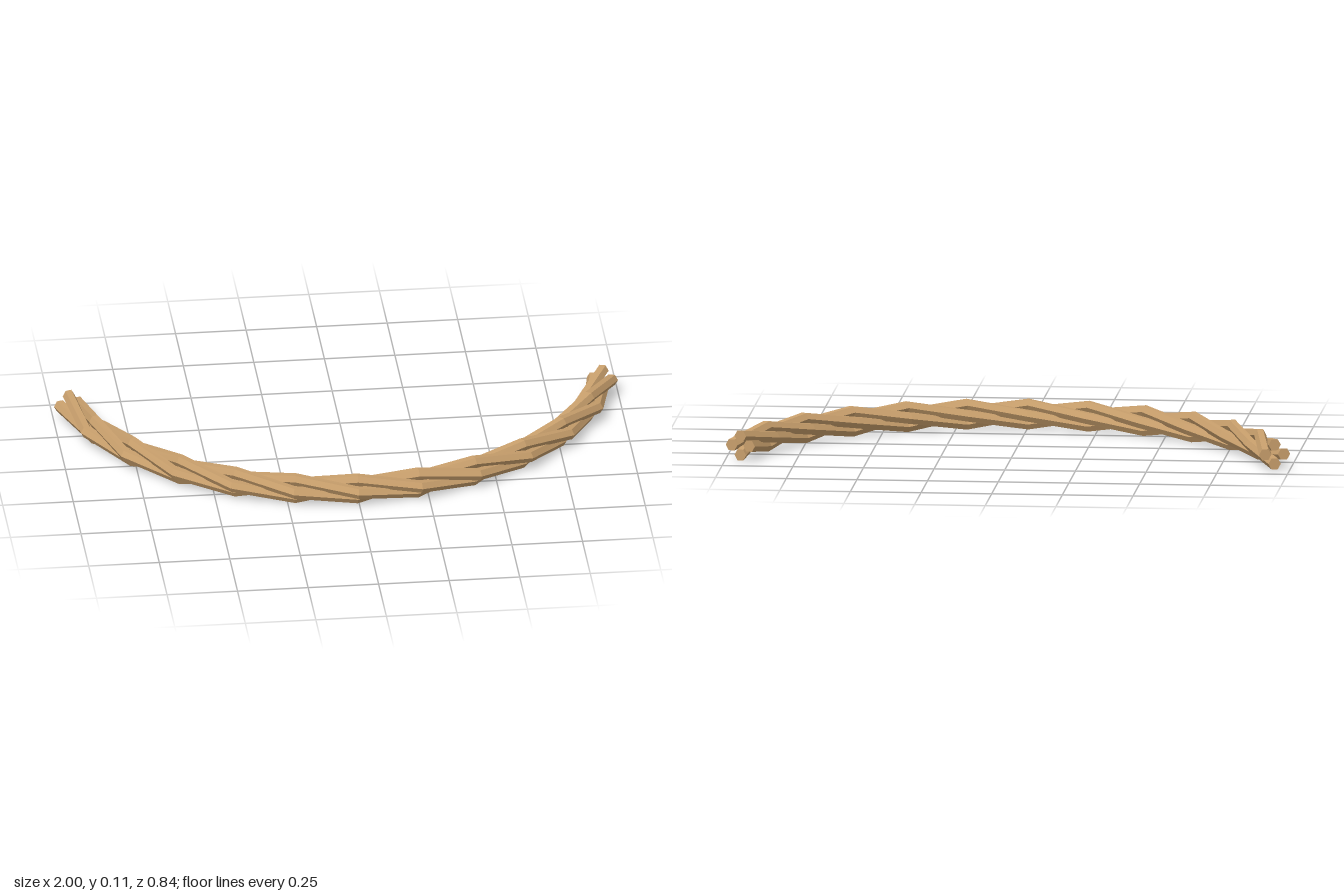
import * as THREE from 'three';

// Rope core: a circular arc lying flat, bulging to the front
const ARC_RADIUS = 0.97, ARC_CENTRE_Z = -0.61, HALF_ANGLE = 1.347, YAW = -0.006;
const SEGMENTS = 12, STRANDS = 4, SIDES = 6;
const CORE_Y = 0.0535, STRAND_OFFSET = 0.034, STRAND_RADIUS = 0.0225;
const UP = new THREE.Vector3(0, 1, 0);

// One hexagonal section of a strand, at step i along the rope
function strandSection(strand, i) {
  const step = (2 * HALF_ANGLE) / SEGMENTS;
  const theta = -HALF_ANGLE + i * step + YAW;
  // the ends are cut square to the first and last straight segment
  const bend = i === 0 ? step / 2 : i === SEGMENTS ? -step / 2 : 0;
  const inward = new THREE.Vector3(-Math.sin(theta + bend), 0, -Math.cos(theta + bend));
  // each strand makes a quarter turn per segment
  const phase = (strand / STRANDS) * Math.PI * 2 + i * Math.PI / 2;
  const centre = new THREE.Vector3(
    ARC_RADIUS * Math.sin(theta), CORE_Y, ARC_CENTRE_Z + ARC_RADIUS * Math.cos(theta))
    .addScaledVector(UP, STRAND_OFFSET * Math.cos(phase))
    .addScaledVector(inward, -STRAND_OFFSET * Math.sin(phase));
  const ring = [];
  for (let k = 0; k < SIDES; k++) {
    const a = (k / SIDES) * Math.PI * 2;
    ring.push(centre.clone()
      .addScaledVector(inward, STRAND_RADIUS * Math.cos(a))
      .addScaledVector(UP, STRAND_RADIUS * Math.sin(a)));
  }
  return { centre, ring };
}

// Closed strand skinned through its sections
function strandGeometry(strand) {
  const points = [];
  const sections = [];
  for (let i = 0; i <= SEGMENTS; i++) sections.push(strandSection(strand, i));
  const first = sections[0], last = sections[SEGMENTS];
  for (let k = 0; k < SIDES; k++) {
    const n = (k + 1) % SIDES;
    for (let i = 0; i < SEGMENTS; i++) {
      const a = sections[i].ring, b = sections[i + 1].ring;
      points.push(a[k], a[n], b[k], a[n], b[n], b[k]);
    }
    points.push(first.centre, first.ring[n], first.ring[k]);
    points.push(last.centre, last.ring[k], last.ring[n]);
  }
  const geometry = new THREE.BufferGeometry().setFromPoints(points);
  geometry.computeVertexNormals();
  return geometry;
}

export function createModel() {
  const rope = new THREE.Group();
  rope.name = 'rope';
  const hemp = new THREE.MeshStandardMaterial({ color: 0xc89f6c, flatShading: true });
  hemp.name = 'hemp';
  for (let s = 0; s < STRANDS; s++) {
    const strand = new THREE.Mesh(strandGeometry(s), hemp);
    strand.name = `strand${s + 1}`;
    rope.add(strand);
  }
  // Centre on x and z, stand on y = 0
  const box = new THREE.Box3().setFromObject(rope);
  const middle = box.getCenter(new THREE.Vector3());
  rope.position.set(-middle.x, -box.min.y, -middle.z);
  return rope;
}
